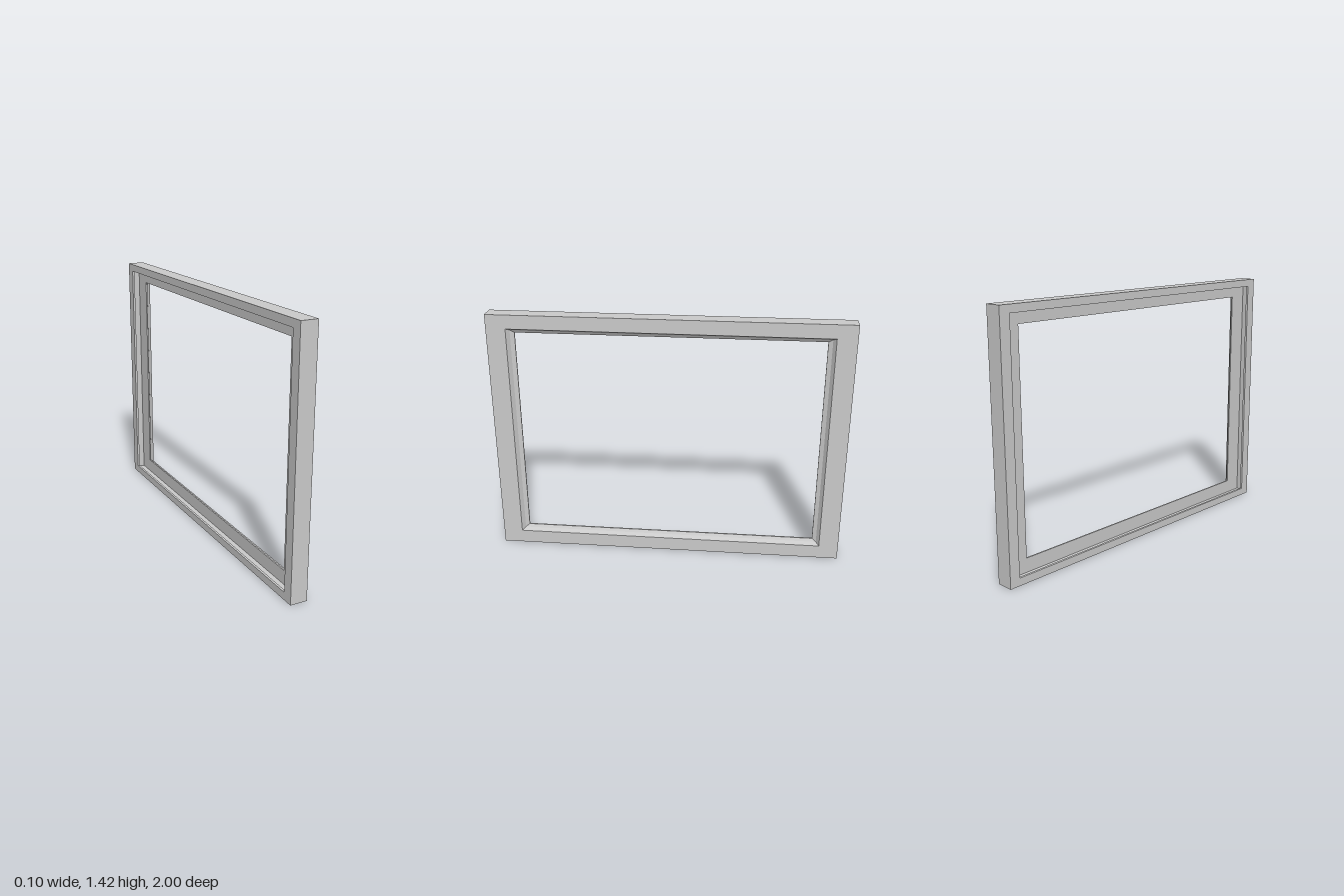
import * as THREE from 'three';

const HALF_LENGTH = 1;       // along z
const HALF_HEIGHT = 0.712;   // along y

// Moulding cross-section: [fraction of the half size, x]
const profile = [
  [1, 0.048], [0.89, 0.048],          // face
  [0.873, 0.023], [0.85, 0.013],      // hollow sight edge
  [0.85, 0.005], [0.96, 0.005],       // lip and rebate shelf
  [0.96, -0.035], [0.94, -0.035],     // groove under the back rim
  [0.94, -0.048], [1, -0.048],        // back rim
];

// Mitre corners as [z sign, y sign]
const corners = [[1, 1], [-1, 1], [-1, -1], [1, -1]];
const names = ['topRail', 'rearStile', 'bottomRail', 'frontStile'];

function point([r, x], [sz, sy]) {
  return [x, HALF_HEIGHT + sy * r * HALF_HEIGHT, sz * r * HALF_LENGTH];
}

// One mitred length of moulding running between two corners
function member(start, end) {
  const positions = [];
  profile.forEach((p, i) => {
    const q = profile[(i + 1) % profile.length];
    const a0 = point(p, start), a1 = point(p, end);
    const b0 = point(q, start), b1 = point(q, end);
    positions.push(...a0, ...b0, ...b1, ...a0, ...b1, ...a1);
  });
  const geometry = new THREE.BufferGeometry();
  geometry.setAttribute('position', new THREE.Float32BufferAttribute(positions, 3));
  geometry.computeVertexNormals();
  return geometry;
}

export function createModel() {
  const group = new THREE.Group();
  group.name = 'pictureFrame';
  const grey = new THREE.MeshStandardMaterial({ color: 0xcacaca });
  grey.name = 'frame grey';

  names.forEach((name, i) => {
    const mesh = new THREE.Mesh(member(corners[i], corners[(i + 1) % 4]), grey);
    mesh.name = name;
    group.add(mesh);
  });
  return group;
}
